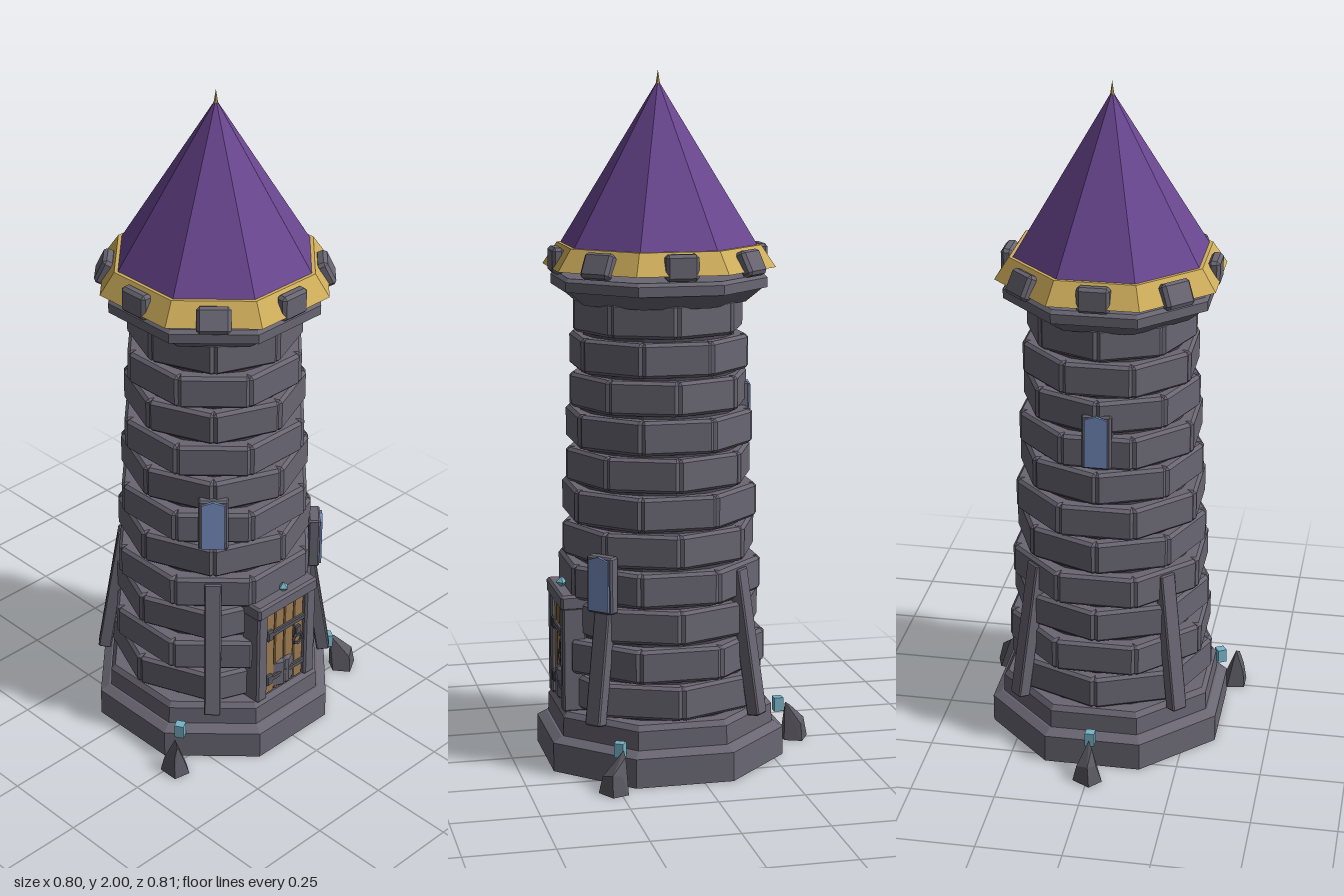
import * as THREE from 'three';
import { ConvexGeometry } from 'three/addons/geometries/ConvexGeometry.js';

const mat = (name, color) => {
  const m = new THREE.MeshStandardMaterial({ color, flatShading: true });
  m.name = name;
  return m;
};

export function createModel() {
  const stone = mat('stone', 0x696672);
  const mortar = mat('mortar', 0x4c4a53);
  const rockGrey = mat('rock grey', 0x5b5962);
  const purple = mat('roof purple', 0x69468f);
  const gold = mat('gold', 0xcfae5c);
  const wood = mat('wood', 0x9c7a50);
  const iron = mat('iron', 0x56545e);
  const glass = mat('window blue', 0x7890c4);
  const crystal = mat('crystal blue', 0x76b4c8);

  const model = new THREE.Group();
  model.name = 'tower';
  const tower = new THREE.Group();
  tower.name = 'towerBody';
  tower.position.z = 0.058;
  model.add(tower);

  const add = (name, geo, material, x = 0, y = 0, z = 0, parent = tower) => {
    const m = new THREE.Mesh(geo, material);
    m.name = name;
    m.position.set(x, y, z);
    parent.add(m);
    return m;
  };

  // Box with all edges chamfered by c
  const block = (w, h, d, c = 0.008) => {
    const p = [];
    for (const i of [-0.5, 0.5]) for (const j of [-0.5, 0.5]) for (const k of [-0.5, 0.5]) {
      const x = i * w, y = j * h, z = k * d, cx = 2 * i * c, cy = 2 * j * c, cz = 2 * k * c;
      p.push(new THREE.Vector3(x, y - cy, z - cz), new THREE.Vector3(x - cx, y, z - cz), new THREE.Vector3(x - cx, y - cy, z));
    }
    return new ConvexGeometry(p);
  };

  // Octagonal ring section from apothem a0 at y0 to a1 at y1, flats on the axes
  const octagon = (name, a0, y0, a1, y1, material) => {
    const k = 1 / Math.cos(Math.PI / 8);
    return add(name, new THREE.CylinderGeometry(a1 * k, a0 * k, y1 - y0, 8, 1, false, Math.PI / 8), material, 0, (y0 + y1) / 2);
  };

  // Group turned so that its +z points outward at the given angle
  const facing = (name, angle) => {
    const g = new THREE.Group();
    g.name = name;
    g.rotation.y = angle;
    tower.add(g);
    return g;
  };

  // Stepped foundation
  octagon('foundation', 0.343, 0, 0.343, 0.085, stone);
  octagon('foundationBevel', 0.343, 0.085, 0.318, 0.1, stone);
  octagon('plinth', 0.312, 0.1, 0.31, 0.155, stone);
  octagon('plinthBevel', 0.31, 0.155, 0.298, 0.17, stone);

  // Core and staggered brick courses
  add('core', new THREE.CylinderGeometry(0.215, 0.276, 1.2, 16), mortar, 0, 0.77);
  for (let row = 0; row < 11; row++) {
    const odd = row % 2 === 0;
    const a = (0.297 - 0.0058 * row) * (odd ? 0.975 : 1);
    const brick = block(2 * a * Math.tan(Math.PI / 8) * 0.98, 0.099, 0.07, 0.009);
    for (let i = 0; i < 8; i++) {
      const g = facing('brickSlot', (i + (odd ? 0.5 : 0)) * Math.PI / 4);
      add('brick', brick, stone, 0, 0.225 + 0.1085 * row, a - 0.035, g);
    }
  }

  // Flared crown
  octagon('crownFlare', 0.235, 1.345, 0.285, 1.39, stone);
  octagon('crown', 0.293, 1.387, 0.293, 1.415, stone);
  octagon('crownBevel', 0.293, 1.415, 0.283, 1.425, stone);

  // Roof with gold band and finial
  octagon('roofBand', 0.315, 1.445, 0.275, 1.508, gold);
  octagon('roof', 0.265, 1.508, 0.002, 1.968, purple);
  add('finial', new THREE.ConeGeometry(0.009, 0.055, 6), gold, 0, 1.9725);

  // Merlons, those on the diagonals leaning inward
  const merlon = block(0.094, 0.075, 0.035, 0.009);
  for (let i = 0; i < 8; i++) {
    const g = facing('merlonSlot', i * Math.PI / 4);
    const m = add('merlon', merlon, stone, 0, 1.467, i % 2 ? 0.308 : 0.298, g);
    if (i % 2) m.rotation.x = -0.45;
  }

  // Leaning buttress beams on the diagonals
  for (let i = 0; i < 4; i++) {
    const g = facing('buttress', Math.PI / 4 + i * Math.PI / 2);
    const beam = add('buttressBeam', block(0.05, 0.43, 0.04, 0.004), stone, 0, 0.372, 0.302, g);
    beam.rotation.x = -0.16;
  }

  // Windows: stone frame with a slightly peaked pane
  const pane = new THREE.Shape([[-0.033, -0.075], [0.033, -0.075], [0.033, 0.072], [0, 0.083], [-0.033, 0.072]]
    .map(([x, y]) => new THREE.Vector2(x, y)));
  const paneGeo = new THREE.ExtrudeGeometry(pane, { depth: 0.008, bevelEnabled: false });
  for (const [angle, y, r] of [[-Math.PI / 4, 0.79, 0.276], [Math.PI / 4, 0.565, 0.305], [Math.PI, 1.02, 0.252]]) {
    const g = facing('window', angle);
    add('windowFrame', block(0.086, 0.165, 0.035, 0.005), stone, 0, y, r - 0.008, g);
    add('windowPane', paneGeo, glass, 0, y, r + 0.008, g);
  }

  // Door
  const door = facing('door', 0);
  add('doorBacking', new THREE.BoxGeometry(0.17, 0.3, 0.04), iron, 0, 0.32, 0.266, door);
  for (let i = 0; i < 4; i++) {
    add('doorPlank', block(0.038, 0.29, 0.03, 0.003), wood, (i - 1.5) * 0.04, 0.317, 0.283, door);
  }
  for (const y of [0.225, 0.388]) add('doorStrap', block(0.16, 0.018, 0.012, 0.003), iron, 0, y, 0.301, door);
  for (const y of [0.225, 0.388]) add('hinge', block(0.026, 0.036, 0.016, 0.004), iron, -0.066, y, 0.301, door);
  add('doorHandle', new THREE.TorusGeometry(0.018, 0.005, 5, 8), iron, 0.052, 0.32, 0.304, door);
  add('handlePlate', block(0.022, 0.04, 0.012, 0.003), iron, 0.052, 0.345, 0.301, door);
  for (const s of [-1, 1]) add('doorPost', block(0.042, 0.31, 0.07, 0.006), stone, s * 0.1, 0.322, 0.275, door);
  add('lintel', block(0.245, 0.045, 0.085, 0.007), stone, 0, 0.49, 0.272, door);
  add('doorCrystal', new THREE.OctahedronGeometry(0.017), crystal, 0, 0.525, 0.29, door);

  // Boulders and floating crystals, three around the foot; [angle, apex sideways, apex outward]
  for (const [angle, t, r] of [[Math.PI, 0, -0.03], [Math.PI / 3, 0.015, -0.04], [-Math.PI / 3, 0, 0]]) {
    const g = facing('boulderSlot', angle);
    const pts = [[-0.022, 0, -0.038], [0.022, 0, -0.038], [0.045, 0, 0.005], [0.012, 0, 0.043], [-0.042, 0, 0.012],
      [-0.03, 0.05, 0.012], [0.028, 0.055, 0.01], [0.006, 0.06, 0.03], [t, 0.113, r], [t + 0.012, 0.1, r + 0.018]];
    add('boulder', new ConvexGeometry(pts.map((p) => new THREE.Vector3(...p))), rockGrey, 0, 0, 0.42, g);
    add('floatingCrystal', new THREE.BoxGeometry(0.028, 0.042, 0.028), crystal, 0, 0.11, 0.367, g);
  }

  return model;
}
